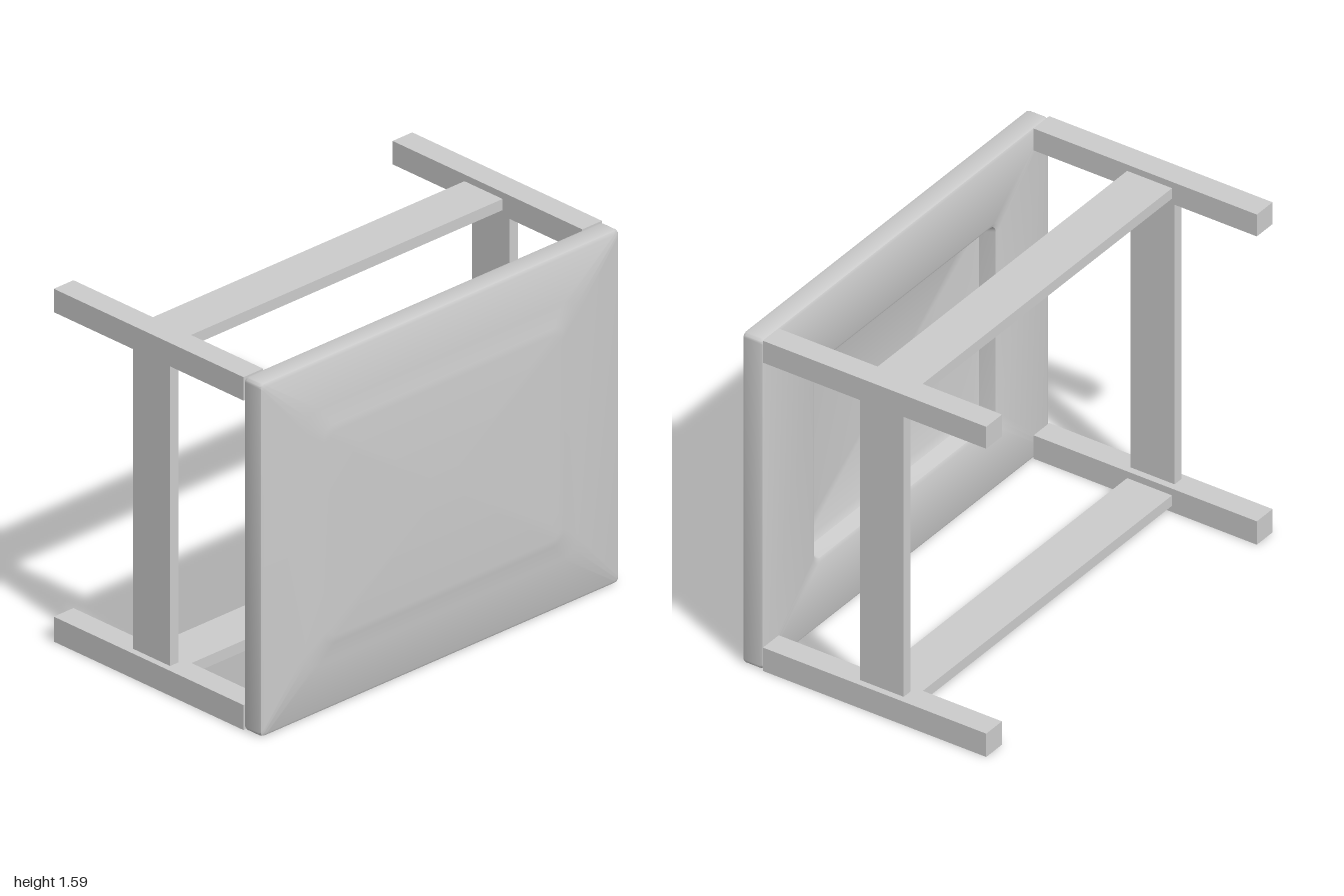
import * as THREE from 'three';
import { toCreasedNormals } from 'three/addons/utils/BufferGeometryUtils.js';

const MID_Y = 0.7925;

// Points of a rounded rectangle, counter-clockwise when seen from +z
function roundedLoop([hw, hh, r, z], steps = 6) {
  const pts = [];
  [[1, 1], [-1, 1], [-1, -1], [1, -1]].forEach(([sx, sy], corner) => {
    for (let i = 0; i <= steps; i++) {
      const a = (corner + i / steps) * Math.PI / 2;
      pts.push([sx * (hw - r) + r * Math.cos(a), sy * (hh - r) + r * Math.sin(a), z]);
    }
  });
  return pts;
}

// Skin joining successive loops
function loft(sections) {
  const loops = sections.map((s) => roundedLoop(s));
  const n = loops[0].length;
  const index = [];
  for (let k = 0; k < loops.length - 1; k++) {
    for (let i = 0; i < n; i++) {
      const j = (i + 1) % n;
      const a = k * n + i, b = k * n + j, c = a + n, d = b + n;
      index.push(a, c, d, a, d, b);
    }
  }
  const geo = new THREE.BufferGeometry();
  geo.setAttribute('position', new THREE.Float32BufferAttribute(loops.flat(2), 3));
  geo.setIndex(index);
  return toCreasedNormals(geo, 0.6);
}

export function createModel() {
  const model = new THREE.Group();
  model.name = 'stool';
  const material = new THREE.MeshStandardMaterial({ color: 0xcccccc });

  // Box given by its extents on each axis
  function bar(name, [x0, x1], [y0, y1], [z0, z1]) {
    const mesh = new THREE.Mesh(new THREE.BoxGeometry(x1 - x0, y1 - y0, z1 - z0), material);
    mesh.position.set((x0 + x1) / 2, (y0 + y1) / 2, (z0 + z1) / 2);
    mesh.name = name;
    model.add(mesh);
  }

  // Seat: raised centre panel, rounded rim, recessed underside
  const seat = new THREE.Mesh(loft([
    [0.001, 0.001, 0.0005, 0.61],
    [0.64, 0.46, 0.04, 0.61],
    [0.67, 0.49, 0.06, 0.607],
    [0.76, 0.575, 0.08, 0.59],
    [0.985, 0.7775, 0.02, 0.588],
    [0.997, 0.7895, 0.02, 0.581],
    [1, 0.7925, 0.02, 0.57],
    [1, 0.7925, 0.02, 0.5],
    [0.996, 0.7885, 0.02, 0.488],
    [0.985, 0.7775, 0.02, 0.483],
    [0.65, 0.485, 0.04, 0.483],
    [0.635, 0.47, 0.04, 0.49],
    [0.62, 0.455, 0.04, 0.56],
    [0.59, 0.425, 0.04, 0.575],
    [0.001, 0.001, 0.0005, 0.575],
  ]), material);
  seat.position.y = MID_Y;
  seat.name = 'seat';
  model.add(seat);

  // Four legs pointing backward
  const legY = [[0, 0.112], [1.48, 1.585]];
  for (const x of [[-1, -0.89], [0.89, 1]]) {
    for (const y of legY) bar('leg', x, y, [-0.61, 0.484]);
  }

  // Long rails between left and right legs
  for (const y of [[0.03, 0.08], [1.505, 1.555]]) {
    bar('longRail', [-0.89, 0.89], y, [-0.195, 0.025]);
  }

  // Short rails between upper and lower legs
  for (const x of [[-0.97, -0.922], [0.922, 0.97]]) {
    bar('shortRail', x, [0.112, 1.48], [-0.185, 0.03]);
  }

  return model;
}
